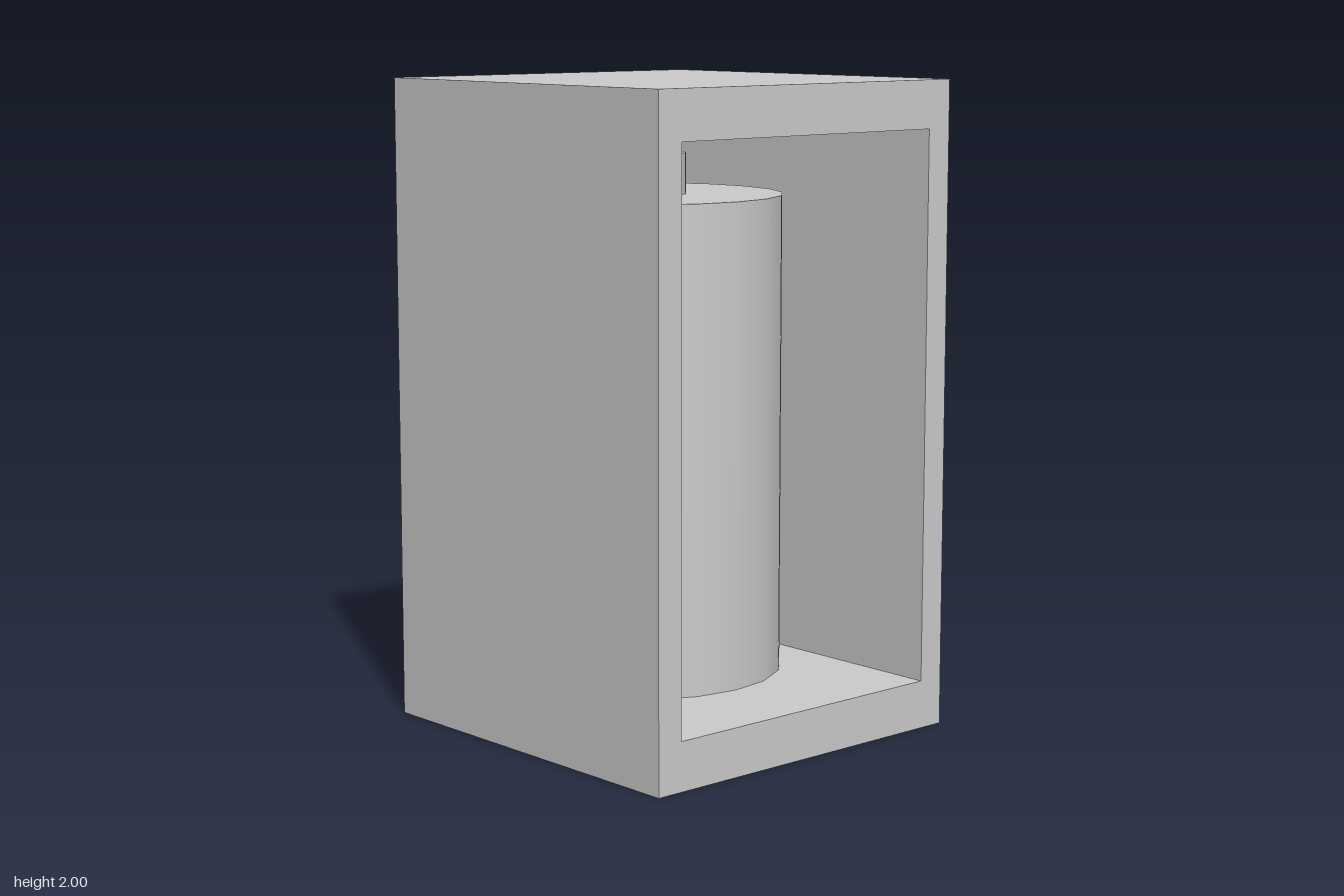
import * as THREE from 'three';

const material = new THREE.MeshStandardMaterial({ color: 0xcccccc });

function addPart(parent, name, geometry, x, y, z) {
  const mesh = new THREE.Mesh(geometry, material);
  mesh.name = name;
  mesh.position.set(x, y, z);
  parent.add(mesh);
  return mesh;
}

function rectangle(PathType, left, bottom, right, top) {
  return new PathType()
    .moveTo(left, bottom)
    .lineTo(right, bottom)
    .lineTo(right, top)
    .lineTo(left, top)
    .closePath();
}

export function createModel() {
  const model = new THREE.Group();
  model.name = 'boxedCylinder';

  const halfWidth = 0.587, height = 2, halfDepth = 0.607;
  const floor = 0.15, backWall = 0.055;

  // Housing: outer walls around a recess open at the front
  const outline = new THREE.Shape();
  outline.moveTo(-halfWidth, 0).lineTo(halfWidth, 0)
    .lineTo(halfWidth, height).lineTo(-halfWidth, height).closePath();
  outline.holes.push(rectangle(THREE.Path, -0.5, floor, 0.5, 1.853));
  const housing = new THREE.Group();
  housing.name = 'housing';
  model.add(housing);
  addPart(housing, 'housingWalls', new THREE.ExtrudeGeometry(outline, {
    depth: 2 * halfDepth - backWall, bevelEnabled: false,
  }), 0, 0, -halfDepth + backWall);

  // Back panel closing the recess
  addPart(housing, 'backPanel', new THREE.BoxGeometry(2 * halfWidth, height, backWall),
    0, height / 2, -halfDepth + backWall / 2);

  // Upright cylinder standing on the recess floor, with a small knob on top
  const bodyTop = 1.643, knobTop = 1.77, axisZ = -0.15;
  const cylinder = new THREE.Group();
  cylinder.name = 'cylinder';
  cylinder.position.z = axisZ;
  model.add(cylinder);
  addPart(cylinder, 'cylinderBody',
    new THREE.CylinderGeometry(0.452, 0.452, bodyTop - floor, 20), 0, (bodyTop + floor) / 2, 0);
  addPart(cylinder, 'topKnob',
    new THREE.CylinderGeometry(0.151, 0.151, knobTop - bodyTop, 20), 0, (knobTop + bodyTop) / 2, 0);

  return model;
}
